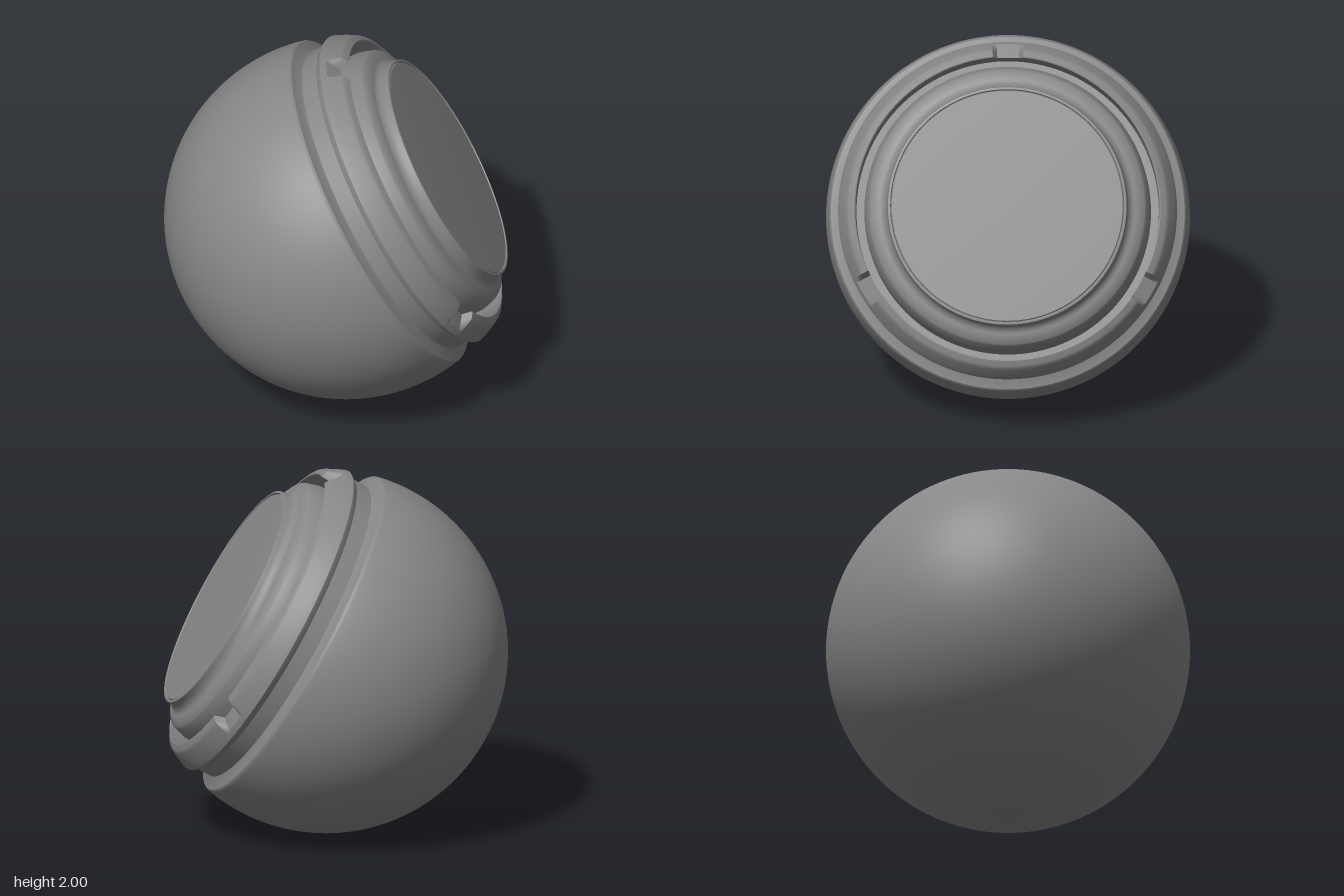
import * as THREE from 'three';
import { toCreasedNormals } from 'three/addons/utils/BufferGeometryUtils.js';

const darkGrey = new THREE.MeshStandardMaterial({ color: 0x878787 });
const SEGMENTS = 128;
const FULL = Math.PI * 2;

// Revolve a profile of [radius, height] pairs, keeping its sharp edges.
// With an end profile the section blends from one to the other.
function revolve(name, profile, start = 0, sweep = FULL, endProfile = profile) {
  const points = profile.map(([r, h]) => new THREE.Vector2(r, h));
  const steps = Math.max(2, Math.round(SEGMENTS * sweep / FULL));
  const geometry = new THREE.LatheGeometry(points, steps, start, sweep);
  if (endProfile !== profile) {
    const position = geometry.attributes.position;
    for (let i = 0; i < position.count; i++) {
      const column = Math.floor(i / profile.length);
      const row = i % profile.length;
      const t = column / steps;
      const angle = start + t * sweep;
      const r = THREE.MathUtils.lerp(profile[row][0], endProfile[row][0], t);
      const h = THREE.MathUtils.lerp(profile[row][1], endProfile[row][1], t);
      position.setXYZ(i, r * Math.sin(angle), h, r * Math.cos(angle));
    }
  }
  const mesh = new THREE.Mesh(toCreasedNormals(geometry, 0.5), darkGrey);
  mesh.name = name;
  return mesh;
}

// Points on a circular arc in the (radius, height) plane
function arc(radius, from, to, steps) {
  return Array.from({ length: steps + 1 }, (_, i) => {
    const a = from + (to - from) * i / steps;
    return [Math.max(0, radius * Math.cos(a)), radius * Math.sin(a)];
  });
}

export function createModel() {
  const model = new THREE.Group();
  model.name = 'sphericalHousing';

  // Tilted frame: local y is the axis the round face looks along
  const eye = new THREE.Group();
  eye.name = 'tiltedBody';
  const axis = new THREE.Vector3(0.6124, 0.5, 0.6124).normalize();
  const side = new THREE.Vector3(1, 0, -1).normalize();
  const third = new THREE.Vector3().crossVectors(side, axis);
  eye.quaternion.setFromRotationMatrix(new THREE.Matrix4().makeBasis(side, axis, third));
  eye.position.y = 1;
  model.add(eye);

  // Spherical shell with a small bevel, a flat cut face and the neck under the ring
  eye.add(revolve('shell', [
    ...arc(1, -Math.PI / 2, Math.asin(0.192), 64),
    [0.978, 0.206], [0.971, 0.214], [0.91, 0.235], [0.902, 0.241], [0.905, 0.335],
  ]));

  // Raised ring: sloping underside, rounded outside, bevelled top and inner wall
  const ringProfile = [
    [0.905, 0.335], [0.924, 0.357], [0.931, 0.37],
    ...arc(1.003, Math.asin(0.384), Math.asin(0.472), 4),
    [0.878, 0.482], [0.87, 0.488], [0.842, 0.503], [0.836, 0.5], [0.83, 0.28],
  ];
  // The same section cut down to the sloping notch floor
  const notchProfile = ringProfile.map(([r, h]) => [r, Math.min(h, 0.4 + 0.55 * (0.922 - r))]);

  // Three notches with flared sides
  const floorWidth = 0.14;
  const flare = 0.028;
  const pitch = FULL / 3;
  for (let i = 0; i < 3; i++) {
    const floorStart = Math.PI + i * pitch - floorWidth / 2;
    const floorEnd = floorStart + floorWidth;
    eye.add(revolve('notchSide', ringProfile, floorStart - flare, flare, notchProfile));
    eye.add(revolve('notchFloor', notchProfile, floorStart, floorWidth));
    eye.add(revolve('notchSide', notchProfile, floorEnd, flare, ringProfile));
    eye.add(revolve('ringSection', ringProfile, floorEnd + flare, pitch - floorWidth - 2 * flare));
  }

  // Floor of the deep channel between ring and barrel
  eye.add(revolve('channelFloor', [[0.84, 0.3], [0.76, 0.3]]));

  // Barrel with a tapered lip and a concave cove rising to the face rim
  const cove = Array.from({ length: 9 }, (_, i) => {
    const a = (i / 8) * Math.PI / 2;
    return [0.71 - 0.052 * Math.sin(a), 0.64 - 0.065 * Math.cos(a)];
  });
  eye.add(revolve('barrel', [
    [0.788, 0.28], [0.784, 0.47], [0.763, 0.538], [0.755, 0.55], ...cove,
    [0.656, 0.647], [0.65, 0.65], [0.643, 0.65], [0.639, 0.638],
  ]));

  // Round face plate, very slightly domed
  eye.add(revolve('facePlate', [
    [0.639, 0.638], [0.634, 0.646], [0.5, 0.65], [0.3, 0.653], [0, 0.655],
  ]));

  return model;
}
